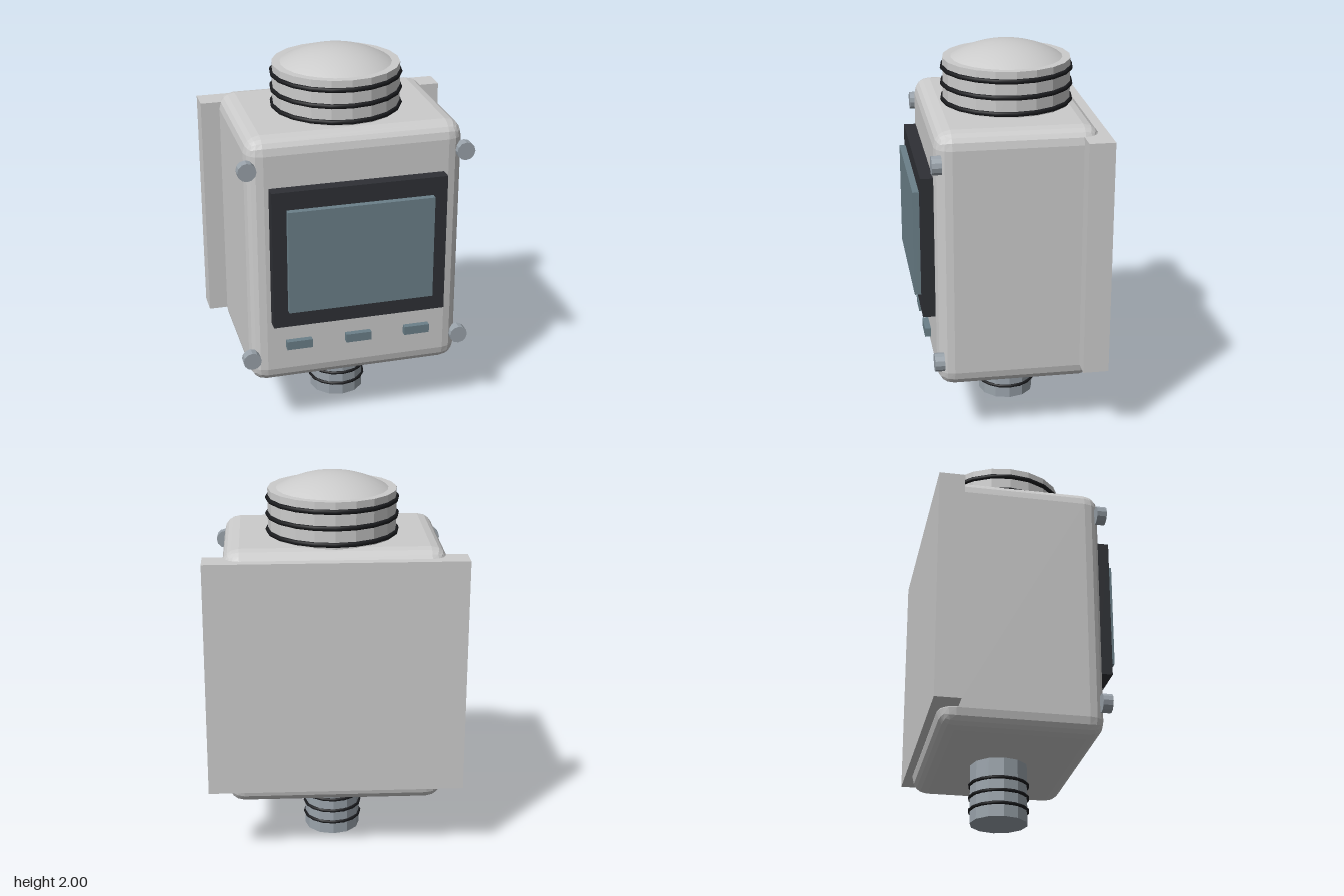
import * as THREE from 'three';
import { RoundedBoxGeometry } from 'three/addons/geometries/RoundedBoxGeometry.js';

const mat = (color, flatShading = true) => {
  const m = new THREE.MeshStandardMaterial({ color });
  m.flatShading = flatShading;
  return m;
};

export function createModel() {
  const model = new THREE.Group();
  model.name = 'sensorUnit';
  const grey = mat(0xcccccc), smoothGrey = mat(0xcccccc, false);
  const steel = mat(0x9aa3ab), black = mat(0x1a1b1e, false);
  const dark = mat(0x2e3035), glass = mat(0x6b8089);
  const axisZ = -0.052; // shared axis of neck and stem

  const add = (name, geometry, material, x, y, z) => {
    const mesh = new THREE.Mesh(geometry, material);
    mesh.name = name;
    mesh.position.set(x, y, z);
    model.add(mesh);
    return mesh;
  };
  // box given by its centre in x and its ranges in y and z
  const box = (name, material, x, w, y0, y1, z0, z1) =>
    add(name, new THREE.BoxGeometry(w, y1 - y0, z1 - z0), material, x, (y0 + y1) / 2, (z0 + z1) / 2);
  const rings = (name, heights, radius, tube, sides) => heights.forEach((y, i) => {
    add(name + (i + 1), new THREE.TorusGeometry(radius, tube, 8, sides), black, 0, y, axisZ).rotation.x = Math.PI / 2;
  });

  // housing and back plate
  add('housing', new RoundedBoxGeometry(1.13, 1.375, 0.83, 2, 0.085), grey, 0, 0.9975, -0.03);
  box('backPlate', grey, 0, 1.33, 0.4, 1.64, -0.485, -0.352);

  // sensor neck with sealing rings and domed cap
  add('neck', new THREE.CylinderGeometry(0.333, 0.333, 0.26, 20), grey, 0, 1.79, axisZ);
  rings('neckRing', [1.702, 1.786, 1.87], 0.333, 0.013, 20);
  const rise = 0.08, rim = 0.29;
  const R = (rim * rim + rise * rise) / (2 * rise);
  add('dome', new THREE.SphereGeometry(R, 24, 8, 0, Math.PI * 2, 0, Math.asin(rim / R)), smoothGrey, 0, 2 - R, axisZ);

  // cable stem with rings
  add('stem', new THREE.CylinderGeometry(0.15, 0.15, 0.33, 12), steel, 0, 0.165, axisZ);
  rings('stemRing', [0.07, 0.138, 0.205], 0.15, 0.009, 16);

  // display and buttons
  box('displayBezel', dark, 0, 0.915, 0.677, 1.43, 0.375, 0.45);
  box('screen', glass, 0, 0.765, 0.772, 1.333, 0.44, 0.483);
  for (const x of [-0.318, 0, 0.318]) box('button', glass, x, 0.136, 0.529, 0.576, 0.404, 0.435);

  // corner bolts
  for (const x of [-0.566, 0.566]) for (const y of [0.47, 1.535]) {
    add('bolt', new THREE.CylinderGeometry(0.048, 0.048, 0.05, 12), steel, x, y, 0.381).rotation.x = Math.PI / 2;
  }
  return model;
}
